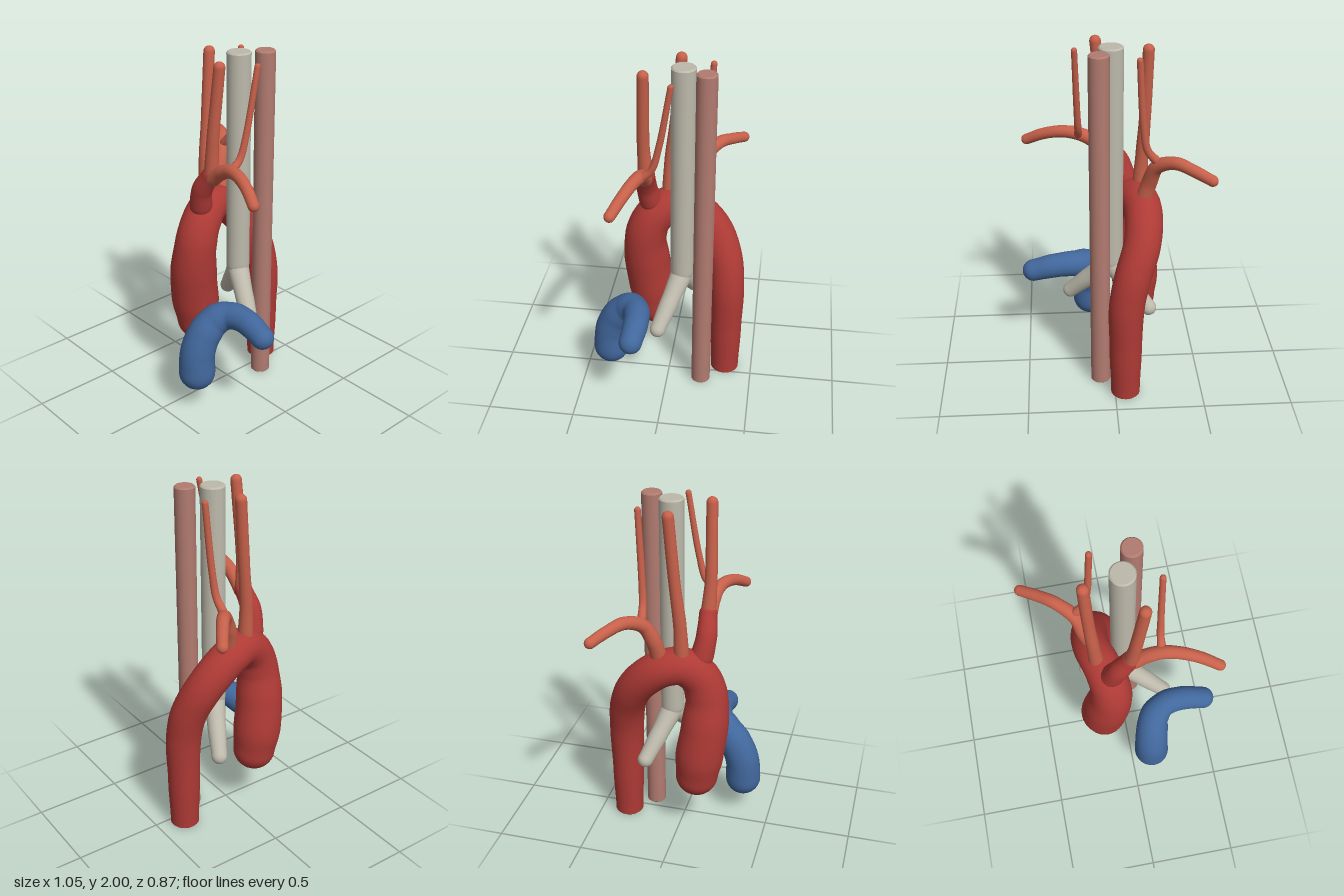
import * as THREE from 'three';

const material = (name, color) => {
  const m = new THREE.MeshStandardMaterial({ color });
  m.name = name;
  return m;
};

// Sweeps a circle along [x, y, z, radius] stations; each end is 'round' or 'flat' (small bevel).
function vessel(stations, startCap = 'round', endCap = 'round', steps = 64, sides = 28) {
  const path = new THREE.CatmullRomCurve3(stations.map(([x, y, z]) => new THREE.Vector3(x, y, z)));
  const radii = stations.map((s) => s[3]);
  const frames = path.computeFrenetFrames(steps, false);
  const rings = []; // [frame index, offset along the path, radius]

  const radiusAt = (u) => {
    const f = path.getUtoTmapping(u) * (radii.length - 1);
    const i = Math.min(Math.floor(f), radii.length - 2);
    return THREE.MathUtils.lerp(radii[i], radii[i + 1], THREE.MathUtils.smoothstep(f - i, 0, 1));
  };
  // Cap rings ordered from the tip inward
  const cap = (frame, r, kind, sign) => {
    const list = [];
    if (kind === 'round') {
      for (let k = 0; k < 8; k++) {
        const a = (k / 8) * Math.PI / 2;
        list.push([frame, sign * r * Math.cos(a), Math.max(r * Math.sin(a), 1e-5)]);
      }
    } else {
      const b = 0.008;
      list.push([frame, 0, 1e-5], [frame, 0, r - b], [frame, 0, r - b], [frame, -sign * b, r], [frame, -sign * b, r]);
    }
    return list;
  };

  rings.push(...cap(0, radii[0], startCap, -1));
  const first = startCap === 'flat' ? 1 : 0;
  const last = endCap === 'flat' ? steps - 1 : steps;
  for (let i = first; i <= last; i++) rings.push([i, 0, radiusAt(i / steps)]);
  rings.push(...cap(steps, radii[radii.length - 1], endCap, 1).reverse());

  const positions = [], index = [];
  const p = new THREE.Vector3();
  rings.forEach(([f, offset, r], row) => {
    const centre = path.getPointAt(f / steps).addScaledVector(frames.tangents[f], offset);
    for (let j = 0; j < sides; j++) {
      const a = (j / sides) * Math.PI * 2;
      p.copy(centre)
        .addScaledVector(frames.normals[f], r * Math.cos(a))
        .addScaledVector(frames.binormals[f], r * Math.sin(a));
      positions.push(p.x, p.y, p.z);
      if (row < rings.length - 1) {
        const a0 = row * sides + j, a1 = row * sides + (j + 1) % sides;
        index.push(a0, a1, a0 + sides, a1, a1 + sides, a0 + sides);
      }
    }
  });
  const g = new THREE.BufferGeometry();
  g.setAttribute('position', new THREE.Float32BufferAttribute(positions, 3));
  g.setIndex(index);
  g.computeVertexNormals();
  return g;
}

export function createModel() {
  const model = new THREE.Group();
  model.name = 'greatVessels';
  const red = material('arterial red', 0xae3a35);
  const coral = material('branch coral', 0xc6604a);
  const blue = material('pulmonary blue', 0x41679c);
  const grey = material('airway grey', 0xbdb9ab);
  const pink = material('oesophagus pink', 0xb17b70);

  const add = (name, mat, stations, startCap, endCap) => {
    const mesh = new THREE.Mesh(vessel(stations, startCap, endCap), mat);
    mesh.name = name;
    model.add(mesh);
  };

  // Aorta: rounded root, arch over the right side, straight descending limb
  add('aorta', red, [
    [-0.14, 0.388, 0.107, 0.123], [-0.143, 0.53, 0.123, 0.138], [-0.125, 0.72, 0.148, 0.134],
    [-0.1, 0.9, 0.15, 0.12], [-0.105, 1.02, 0.108, 0.113], [-0.135, 1.09, 0.02, 0.107],
    [-0.165, 1.08, -0.08, 0.105], [-0.168, 1.02, -0.17, 0.105], [-0.15, 0.92, -0.255, 0.103],
    [-0.1, 0.77, -0.315, 0.102], [-0.066, 0.6, -0.335, 0.1], [-0.06, 0.3, -0.337, 0.092],
    [-0.06, 0, -0.337, 0.083],
  ], 'round', 'flat');

  // Common trunk for the model's left-hand branches
  add('brachiocephalicTrunk', red, [
    [-0.087, 1.14, 0.118, 0.064], [-0.055, 1.25, 0.135, 0.058], [0.01, 1.355, 0.127, 0.05],
  ]);

  // Carotid arteries
  add('leftCarotid', coral, [
    [0.015, 1.35, 0.127, 0.042], [0.035, 1.55, 0.135, 0.034],
    [0.06, 1.78, 0.13, 0.032], [0.08, 1.965, 0.125, 0.031],
  ]);
  add('rightCarotid', coral, [
    [-0.158, 1.17, 0.02, 0.042], [-0.168, 1.35, 0.015, 0.036],
    [-0.18, 1.6, -0.01, 0.032], [-0.19, 1.965, -0.04, 0.031],
  ]);

  // Subclavian arteries
  add('leftSubclavian', coral, [
    [0.03, 1.34, 0.13, 0.043], [0.1, 1.395, 0.133, 0.04], [0.18, 1.43, 0.142, 0.037],
    [0.27, 1.435, 0.165, 0.034], [0.37, 1.41, 0.2, 0.032], [0.468, 1.36, 0.243, 0.03],
  ]);
  add('rightSubclavian', coral, [
    [-0.17, 1.13, -0.1, 0.046], [-0.2, 1.25, -0.12, 0.043], [-0.235, 1.36, -0.17, 0.039],
    [-0.325, 1.41, -0.245, 0.035], [-0.41, 1.395, -0.31, 0.032], [-0.5, 1.365, -0.373, 0.03],
  ]);

  // Vertebral arteries
  add('leftVertebral', coral, [
    [0.178, 1.43, 0.125, 0.024], [0.18, 1.485, 0.07, 0.02],
    [0.185, 1.62, 0.03, 0.018], [0.195, 1.965, -0.033, 0.016],
  ]);
  add('rightVertebral', coral, [
    [-0.225, 1.4, -0.178, 0.024], [-0.18, 1.46, -0.185, 0.021],
    [-0.155, 1.6, -0.195, 0.019], [-0.13, 1.965, -0.217, 0.017],
  ]);

  // Pulmonary trunk bending to the left branch
  add('pulmonaryTrunk', blue, [
    [0.115, 0.235, 0.333, 0.104], [0.113, 0.36, 0.325, 0.1], [0.122, 0.47, 0.28, 0.096],
    [0.15, 0.548, 0.21, 0.088], [0.22, 0.58, 0.16, 0.076], [0.33, 0.578, 0.145, 0.071],
    [0.458, 0.545, 0.155, 0.065],
  ]);

  // Windpipe and its two bronchi
  const x = 0.008, z = -0.076;
  add('trachea', grey, [[x, 0.745, z, 0.067], [x, 1.4, z, 0.067], [x, 2, z, 0.067]], 'round', 'flat');
  add('leftBronchus', grey, [[x, 0.725, z, 0.062], [0.125, 0.6, -0.02, 0.053], [0.24, 0.478, 0.035, 0.045]]);
  add('rightBronchus', grey, [[x, 0.725, z, 0.062], [-0.095, 0.6, -0.13, 0.053], [-0.2, 0.478, -0.185, 0.045]]);

  // Oesophagus
  add('oesophagus', pink, [[0.077, 0, -0.203, 0.056], [0.077, 1, -0.203, 0.056], [0.077, 2, -0.203, 0.056]], 'flat', 'flat');

  return model;
}
